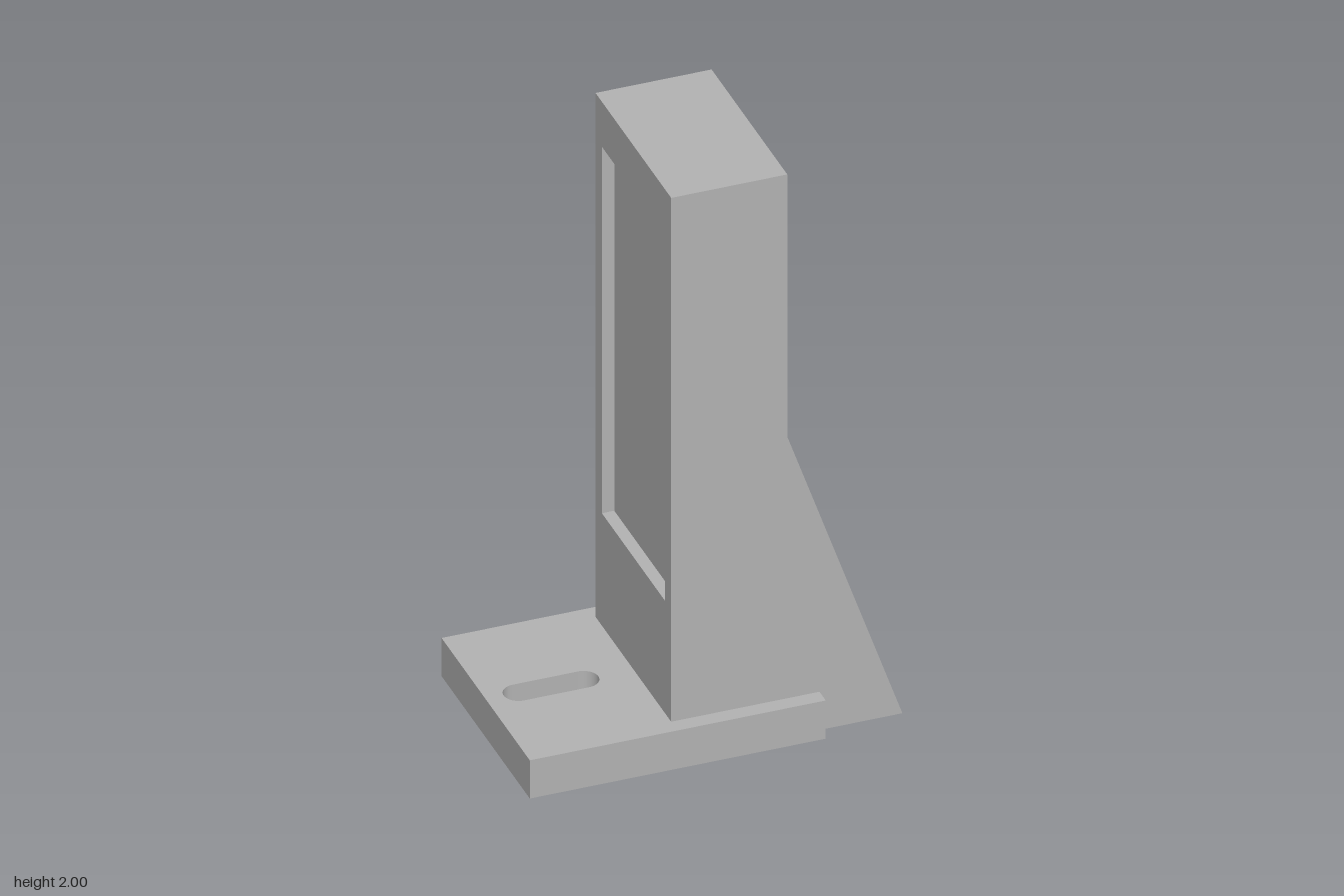
import * as THREE from 'three';

const H = 2, HALF_W = 0.32;                  // column height and half depth
const LEFT = -0.135, RIGHT = 0.24;           // column sides
const RECESS = 0.04;                         // pocket depth
const BASE_H = 0.136, BASE_L = -0.612, BASE_R = 0.344, BASE_W = 0.373;

const polygon = (pts) => new THREE.Shape(pts.map(([x, y]) => new THREE.Vector2(x, y)));
const extrude = (shape, depth) =>
  new THREE.ExtrudeGeometry(shape, { depth, bevelEnabled: false, curveSegments: 16 });

export function createModel() {
  const model = new THREE.Group();
  model.name = 'slottedBracket';
  const grey = new THREE.MeshStandardMaterial({ color: 0xb3b3b3 });
  grey.name = 'plainGrey';
  const add = (name, geometry) => {
    const mesh = new THREE.Mesh(geometry, grey);
    mesh.name = name;
    model.add(mesh);
  };

  // Column with its sloping buttress, extruded across the depth
  const inner = LEFT + RECESS;
  const column = extrude(polygon([
    [inner, 0], [0.612, 0], [RIGHT, 1.067], [RIGHT, H], [inner, H],
  ]), HALF_W * 2);
  column.translate(0, 0, -HALF_W);
  add('column', column);

  // Frame around the shallow pocket on the column's right side
  const frame = polygon([[-HALF_W, 0], [HALF_W, 0], [HALF_W, H], [-HALF_W, H]]);
  frame.holes.push(polygon([[-0.266, 0.536], [-0.266, 1.84], [0.266, 1.84], [0.266, 0.536]]));
  const frameGeometry = extrude(frame, RECESS);
  frameGeometry.rotateY(Math.PI / 2).translate(LEFT, 0, 0);
  add('pocketFrame', frameGeometry);

  // Base plate that wraps around the column, with a rounded bolt slot
  const base = polygon([
    [BASE_L, -BASE_W], [BASE_R, -BASE_W], [BASE_R, -HALF_W], [LEFT, -HALF_W],
    [LEFT, HALF_W], [BASE_R, HALF_W], [BASE_R, BASE_W], [BASE_L, BASE_W],
  ]);
  const r = 0.048, slot = new THREE.Path();
  slot.absarc(-0.296, 0, r, -Math.PI / 2, Math.PI / 2);
  slot.absarc(-0.506, 0, r, Math.PI / 2, Math.PI * 1.5);
  slot.closePath();
  base.holes.push(slot);
  const baseGeometry = extrude(base, BASE_H);
  baseGeometry.rotateX(-Math.PI / 2);
  add('basePlate', baseGeometry);

  return model;
}
